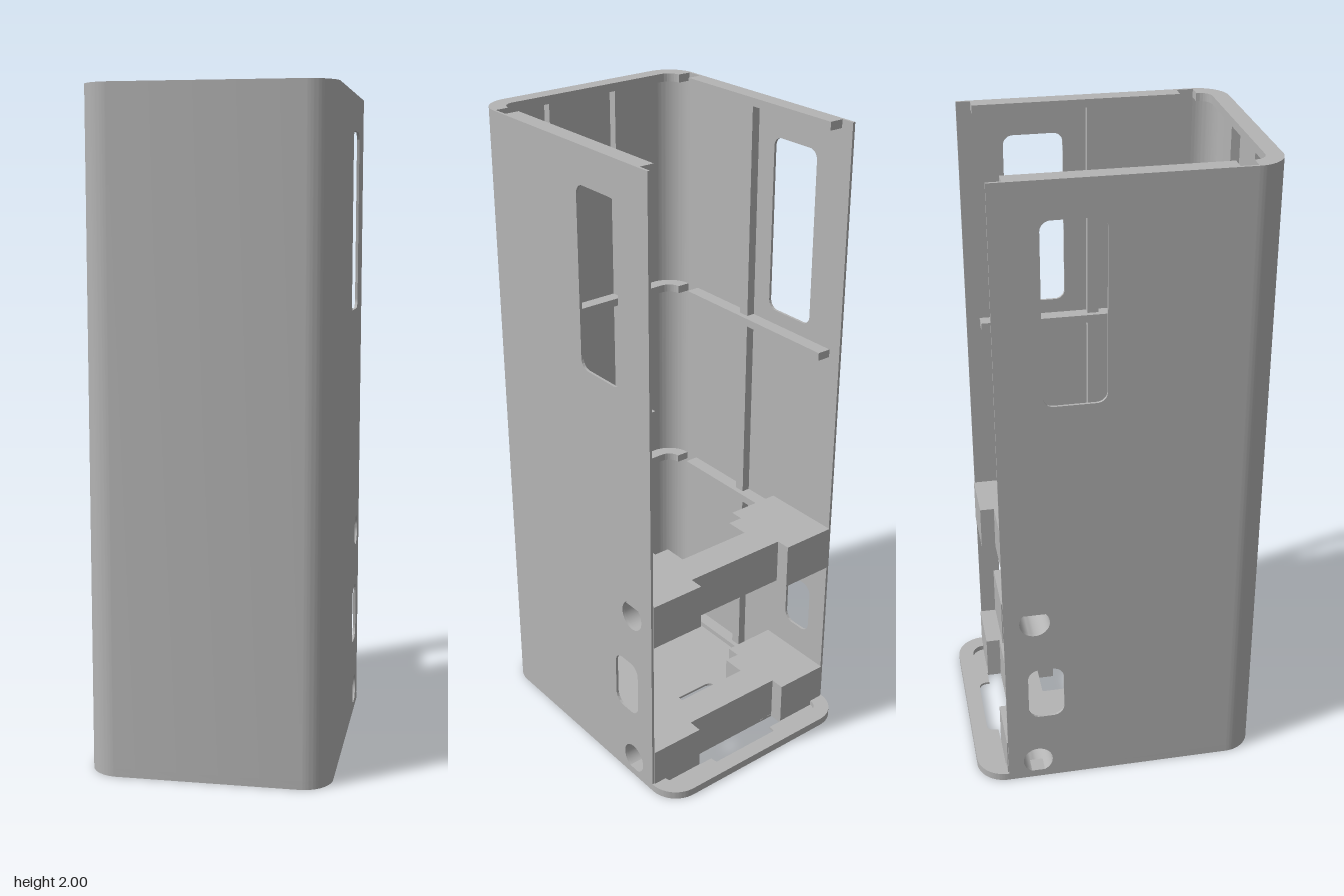
import * as THREE from 'three';
import { toCreasedNormals } from 'three/addons/utils/BufferGeometryUtils.js';

const WALL = 0.008, HALF_W = 0.36, R = 0.09, CX = 0.27, CZ = 0.36, BACK = -0.357;
const RIM_H = 0.025, RIM_R = 0.04;

const plastic = new THREE.MeshStandardMaterial({ color: 0xb4b4b4 });
plastic.name = 'grey plastic';

// Shapes are drawn with -z as one axis, so the extrusions turn into model space.
const extrude = (shape, depth) => new THREE.ExtrudeGeometry(shape, { depth, bevelEnabled: false, curveSegments: 16 });
const alongY = (shape, y0, y1) => extrude(shape, y1 - y0).rotateX(-Math.PI / 2).translate(0, y0, 0);
const alongX = (shape, x0, x1) => extrude(shape, x1 - x0).rotateY(Math.PI / 2).translate(x0, 0, 0);

function roundedRect(x0, y0, x1, y1, r, Kind = THREE.Path) {
  const p = new Kind();
  p.moveTo(x1, y0 + r);
  p.absarc(x1 - r, y1 - r, r, 0, Math.PI / 2, false);
  p.absarc(x0 + r, y1 - r, r, Math.PI / 2, Math.PI, false);
  p.absarc(x0 + r, y0 + r, r, Math.PI, Math.PI * 1.5, false);
  p.absarc(x1 - r, y0 + r, r, Math.PI * 1.5, Math.PI * 2, false);
  p.closePath();
  return p;
}

function circle(z, y, r) {
  const p = new THREE.Path();
  p.absarc(-z, y, r, 0, Math.PI * 2, false);
  return p;
}

function rect(x0, y0, x1, y1) {
  return new THREE.Shape([[x0, y0], [x1, y0], [x1, y1], [x0, y1]].map(p => new THREE.Vector2(...p)));
}

// Front band with two rounded corners
function frontBand(ro, ri) {
  const s = new THREE.Shape(), h = Math.PI / 2;
  s.moveTo(CX + ro, -CZ);
  s.absarc(CX, -CZ, ro, 0, -h, true);
  s.absarc(-CX, -CZ, ro, -h, -Math.PI, true);
  s.lineTo(-CX - ri, -CZ);
  s.absarc(-CX, -CZ, ri, -Math.PI, -h, false);
  s.absarc(CX, -CZ, ri, -h, 0, false);
  s.closePath();
  return s;
}

// Socket opening: a wide slot joined to a narrower end; dir is the rounded end
function socketHole(zFlat, zWide0, zWide1, zRound) {
  const p = new THREE.Path(), a = 0.125, b = 0.174, r = 0.03;
  const d = Math.sign(zRound - zFlat);
  p.moveTo(-a, -zFlat);
  p.lineTo(-a, -zWide0);
  p.lineTo(-b, -zWide0);
  p.lineTo(-b, -zWide1);
  p.lineTo(-a, -zWide1);
  p.lineTo(-a, -(zRound - d * r));
  p.quadraticCurveTo(-a, -zRound, -a + r, -zRound);
  p.lineTo(a - r, -zRound);
  p.quadraticCurveTo(a, -zRound, a, -(zRound - d * r));
  p.lineTo(a, -zWide1);
  p.lineTo(b, -zWide1);
  p.lineTo(b, -zWide0);
  p.lineTo(a, -zWide0);
  p.lineTo(a, -zFlat);
  return p;
}

export function createModel() {
  const model = new THREE.Group();
  model.name = 'enclosure';
  const add = (name, geometry, parent = model) => {
    const mesh = new THREE.Mesh(toCreasedNormals(geometry, 0.5), plastic);
    mesh.name = name;
    parent.add(mesh);
  };
  const box = (x0, x1, y0, y1, z0, z1) =>
    new THREE.BoxGeometry(x1 - x0, y1 - y0, z1 - z0).translate((x0 + x1) / 2, (y0 + y1) / 2, (z0 + z1) / 2);

  // Base plate with two socket openings and a raised rim
  const base = roundedRect(-HALF_W, -0.45, HALF_W, 0.45, R, THREE.Shape);
  base.holes.push(socketHole(-0.21, -0.136, -0.093, -0.055), socketHole(-0.315, -0.3155, -0.362, -0.398));
  add('basePlate', alongY(base, 0, WALL));
  const rim = roundedRect(-HALF_W, -0.45, HALF_W, 0.45, R, THREE.Shape);
  rim.holes.push(roundedRect(-0.31, -0.4, 0.31, 0.4, RIM_R));
  add('baseRim', alongY(rim, WALL, RIM_H));

  // Thin front wall with rounded corners
  add('frontWall', alongY(frontBand(R, R - WALL), WALL, 2));

  // Side walls with window, port and cable holes
  for (const side of [-1, 1]) {
    const panel = rect(-CZ, WALL, -BACK, 2);
    panel.holes.push(
      roundedRect(0.04, 1.345, 0.222, 1.89, 0.03),
      roundedRect(0.175, 0.245, 0.287, 0.43, 0.035),
      circle(-0.262, 0.61, 0.047),
      circle(-0.262, 0.067, 0.047));
    const inner = HALF_W - WALL;
    add('sideWall', side > 0 ? alongX(panel, inner, HALF_W) : alongX(panel, -HALF_W, -inner));
  }

  // Stiffening bands: curved front piece and a straight ledge on each side
  for (const top of [0.66, 1.3, 2]) {
    add('frontBand', alongY(frontBand(R - WALL, RIM_R), top - RIM_H, top));
    for (const s of [-1, 1]) {
      const xs = [s * 0.308, s * 0.352].sort((a, b) => a - b);
      add('sideLedge', box(xs[0], xs[1], top - RIM_H, top, -0.315, 0.31));
    }
  }

  // Vertical ribs on the side and front walls
  for (const s of [-1, 1]) {
    const xs = [s * 0.325, s * 0.352].sort((a, b) => a - b);
    add('sideRib', box(xs[0], xs[1], WALL, 1.99, 0.03, 0.065));
    add('frontRib', box(s * 0.12 - 0.016, s * 0.12 + 0.016, WALL, 1.99, 0.415, 0.442));
  }

  // Two socket brackets, each bored across by a cable tunnel
  for (const [y0, y1, hole] of [[WALL, 0.148, 0.067], [0.545, 0.69, 0.61]]) {
    const bracket = new THREE.Group();
    bracket.name = 'socketBracket';
    model.add(bracket);
    const slice = (name, x0, x1, zBack, zFront) => {
      const s = rect(-zFront, y0, -zBack, y1);
      s.holes.push(circle(-0.262, hole, 0.047));
      add(name, alongX(s, x0, x1), bracket);
    };
    slice('crossBar', -0.125, 0.125, -0.315, -0.21);
    slice('shoulder', 0.125, 0.174, -0.315, -0.136);
    slice('shoulder', -0.174, -0.125, -0.315, -0.136);
    slice('endBlock', 0.174, 0.352, -0.36, -0.093);
    slice('endBlock', -0.352, -0.174, -0.36, -0.093);
  }
  return model;
}
